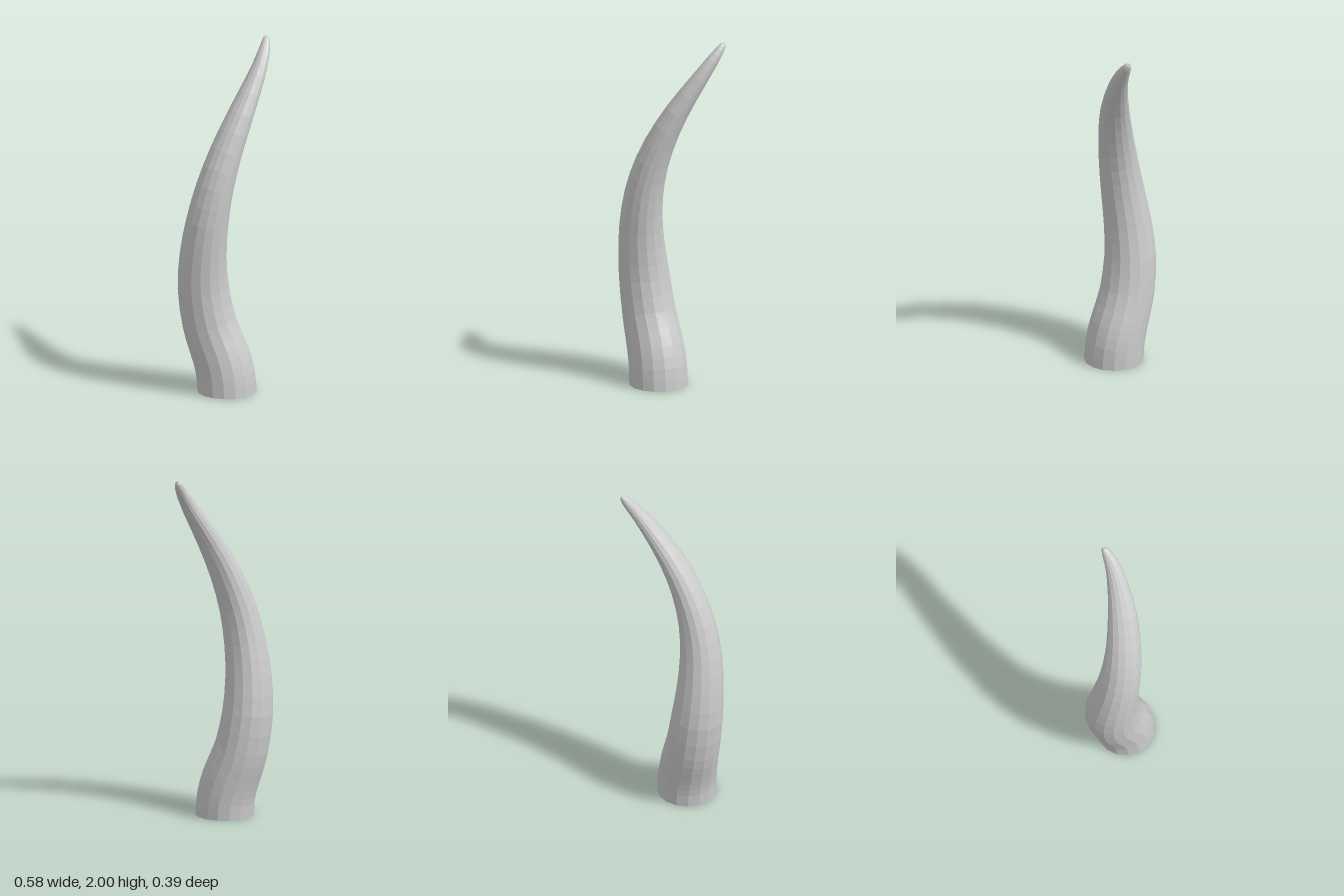
import * as THREE from 'three';

const SIDES = 16;
const STEPS = 2; // rings per profile row

// Centre line x, y, z, then section radius and flattening along the bend
const ROWS = [
  [-0.025, 0, 0.031, 0.167, 1],
  [-0.032, 0.1, 0.026, 0.166, 1],
  [-0.054, 0.2, 0.014, 0.163, 1],
  [-0.087, 0.3, -0.002, 0.158, 1],
  [-0.116, 0.4, -0.014, 0.153, 1],
  [-0.149, 0.6, -0.018, 0.145, 1],
  [-0.156, 0.8, 0.001, 0.134, 0.98],
  [-0.139, 1.0, 0.024, 0.122, 0.96],
  [-0.098, 1.2, 0.033, 0.11, 0.93],
  [-0.028, 1.4, 0.021, 0.097, 0.88],
  [0.068, 1.6, -0.014, 0.081, 0.82],
  [0.181, 1.8, -0.079, 0.056, 0.82],
  [0.234, 1.9, -0.126, 0.041, 0.85],
  [0.262, 1.96, -0.162, 0.028, 0.9],
  [0.272, 1.988, -0.18, 0.016, 1],
  [0.276, 2.0, -0.188, 0.0005, 1],
];

function hornGeometry() {
  const path = new THREE.CatmullRomCurve3(ROWS.map(([x, y, z]) => new THREE.Vector3(x, y, z)));
  const section = new THREE.SplineCurve(ROWS.map((row) => new THREE.Vector2(row[3], row[4])));
  const rings = (ROWS.length - 1) * STEPS;
  const bend = new THREE.Vector3(Math.cos(Math.PI / 8), 0, -Math.sin(Math.PI / 8));
  const positions = [];
  const index = [];

  for (let i = 0; i <= rings; i++) {
    const t = i / rings;
    const centre = path.getPoint(t);
    const size = section.getPoint(t);
    // The base ring lies flat on the ground
    const along = i === 0 ? new THREE.Vector3(0, 1, 0) : path.getTangent(t);
    const u = bend.clone().addScaledVector(along, -bend.dot(along)).normalize();
    const v = along.clone().cross(u);
    for (let j = 0; j < SIDES; j++) {
      const a = (j / SIDES) * Math.PI * 2;
      const p = centre.clone()
        .addScaledVector(u, Math.cos(a) * size.x * size.y)
        .addScaledVector(v, Math.sin(a) * size.x);
      positions.push(p.x, Math.min(p.y, 2), p.z);
      if (i < rings) {
        const k = (j + 1) % SIDES;
        const low = i * SIDES;
        const high = low + SIDES;
        index.push(low + j, low + k, high + j, low + k, high + k, high + j);
      }
    }
  }

  const geometry = new THREE.BufferGeometry();
  geometry.setAttribute('position', new THREE.Float32BufferAttribute(positions, 3));
  geometry.setIndex(index);
  const faceted = geometry.toNonIndexed();
  faceted.computeVertexNormals();
  return faceted;
}

export function createModel() {
  const group = new THREE.Group();
  group.name = 'curvedHorn';
  const material = new THREE.MeshStandardMaterial({
    name: 'pale grey',
    color: 0xcccccc,
    flatShading: true,
    side: THREE.DoubleSide, // the base is open
  });
  const horn = new THREE.Mesh(hornGeometry(), material);
  horn.name = 'horn';
  group.add(horn);
  return group;
}
